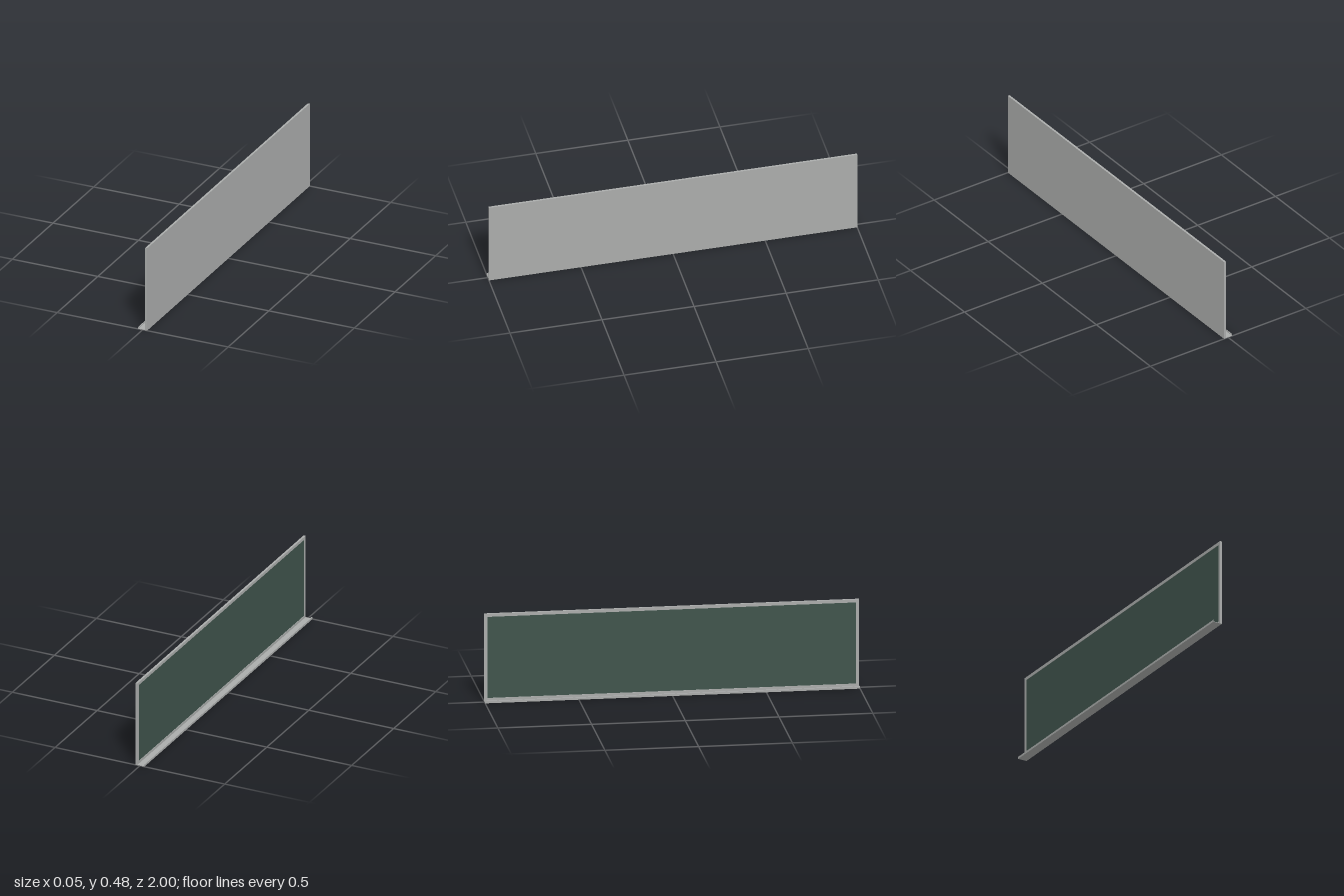
import * as THREE from 'three';

const LENGTH = 2, HEIGHT = 0.48, BORDER = 0.017;
const BACK_X = 0.026, FACE_X = 0.0145, RIM = 0.003;

export function createModel() {
  const aluminium = new THREE.MeshStandardMaterial({ color: 0xaaacab });
  aluminium.name = 'aluminium grey';
  const slate = new THREE.MeshStandardMaterial({ color: 0x3f534b });
  slate.name = 'chalkboard green';

  const group = new THREE.Group();
  group.name = 'chalkboard';
  const add = (name, geometry, material, x = 0, y = 0, z = 0) => {
    const mesh = new THREE.Mesh(geometry, material);
    mesh.name = name;
    mesh.position.set(x, y, z);
    group.add(mesh);
    return mesh;
  };

  // Solid backing behind the writing surface
  const backDepth = BACK_X - FACE_X - RIM;
  add('backing', new THREE.BoxGeometry(backDepth, HEIGHT, LENGTH), aluminium,
    BACK_X - backDepth / 2, HEIGHT / 2);

  // Raised rectangular rim with an opening, extruded towards -x
  const rim = new THREE.Shape([
    new THREE.Vector2(-LENGTH / 2, 0), new THREE.Vector2(LENGTH / 2, 0),
    new THREE.Vector2(LENGTH / 2, HEIGHT), new THREE.Vector2(-LENGTH / 2, HEIGHT),
  ]);
  const a = LENGTH / 2 - BORDER, b = BORDER, c = HEIGHT - BORDER;
  rim.holes.push(new THREE.Path([
    new THREE.Vector2(-a, b), new THREE.Vector2(-a, c),
    new THREE.Vector2(a, c), new THREE.Vector2(a, b),
  ]));
  const frame = add('frame', new THREE.ExtrudeGeometry(rim, { depth: RIM, bevelEnabled: false }),
    aluminium, FACE_X + RIM);
  frame.rotation.y = -Math.PI / 2;

  // Writing surface, slightly recessed inside the rim
  add('writingSurface', new THREE.BoxGeometry(0.001, HEIGHT - 2 * BORDER, LENGTH - 2 * BORDER),
    slate, FACE_X + RIM - 0.0005, HEIGHT / 2);

  // Chalk tray: floor, upright lip and a small inward hook
  const tray = new THREE.Shape([
    [FACE_X, 0], [FACE_X, 0.0025], [-0.0248, 0.0025], [-0.0248, 0.0108],
    [-0.0215, 0.0108], [-0.0215, 0.012], [-0.026, 0.012], [-0.026, 0],
  ].map(([x, y]) => new THREE.Vector2(x, y)));
  add('chalkTray', new THREE.ExtrudeGeometry(tray, { depth: LENGTH, bevelEnabled: false }),
    aluminium, 0, 0, -LENGTH / 2);

  return group;
}
